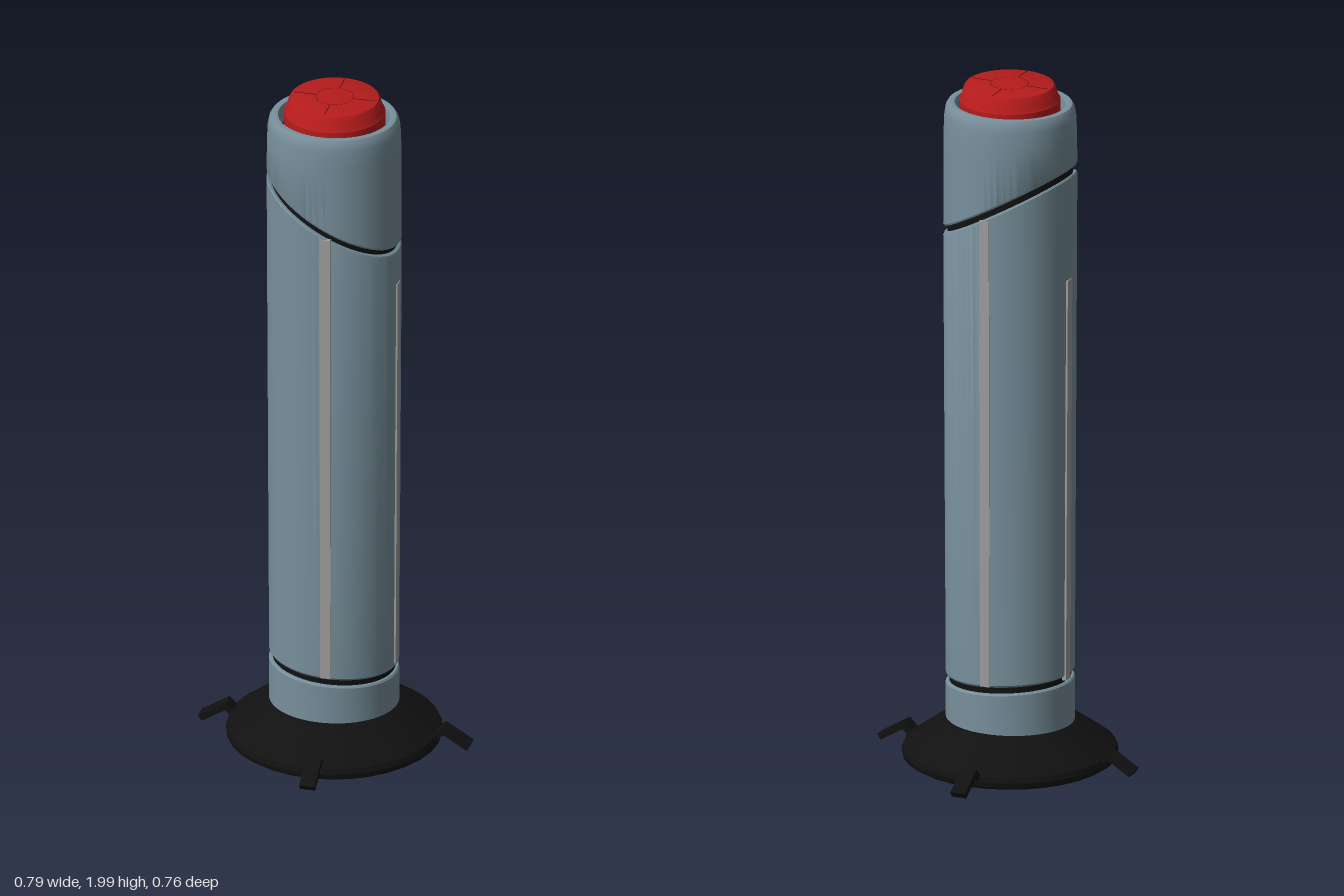
import * as THREE from 'three';
import { toCreasedNormals } from 'three/addons/utils/BufferGeometryUtils.js';

const mat = (color) => new THREE.MeshStandardMaterial({ color });
const shell = mat(0x78909c), black = mat(0x111111), red = mat(0xb71c1c);
const trim = mat(0x9e9e9e), groove = mat(0x5a0c0c);

export function createModel() {
  const root = new THREE.Group();

  const add = (parent, name, geo, material) => {
    const m = new THREE.Mesh(geo, material);
    m.name = name;
    parent.add(m);
    return m;
  };

  // Turned part; each profile point is [radius, height, slope], slope tilting its ring along x
  const turned = (profile, segments) => {
    const geo = new THREE.LatheGeometry(profile.map(([r, y]) => new THREE.Vector2(r, y)), segments);
    const p = geo.attributes.position, n = profile.length;
    for (let i = 0; i < p.count; i++) {
      p.setY(i, p.getY(i) - (profile[i % n][2] || 0) * p.getX(i));
    }
    return toCreasedNormals(geo, 0.5);
  };

  // Column: slightly oval in plan
  const column = new THREE.Group();
  column.name = 'column';
  column.position.set(-0.003, 0, 0.012);
  column.scale.z = 0.925;
  root.add(column);

  const LOW = 0.07, HIGH = 0.55; // slopes of the two slanted cuts
  add(column, 'collar', turned([
    [0, 0.09], [0.183, 0.09], [0.183, 0.238, LOW], [0.179, 0.243, LOW], [0, 0.243, LOW],
  ], 64), shell);
  add(column, 'core', turned([
    [0, 0.1], [0.172, 0.1], [0.173, 0.3, LOW], [0.178, 1.6, HIGH], [0.178, 1.72, HIGH],
    [0.16, 1.89], [0, 1.89],
  ], 64), black);
  add(column, 'mainBody', turned([
    [0, 0.262, LOW], [0.179, 0.262, LOW], [0.183, 0.268, LOW],
    [0.19, 1.644, HIGH], [0.187, 1.65, HIGH], [0, 1.65, HIGH],
  ], 64), shell);
  add(column, 'headCap', turned([
    [0.17, 1.67, HIGH], [0.187, 1.67, HIGH], [0.19, 1.676, HIGH], [0.189, 1.86],
    [0.187, 1.91], [0.183, 1.932], [0.176, 1.943], [0.168, 1.945], [0.158, 1.943],
    [0.155, 1.935], [0.155, 1.885],
  ], 64), shell);

  // Inlaid strips: long at front and back, short at the sides
  const strip = (name, angle, offset, top, rx) => {
    const pivot = new THREE.Group();
    pivot.name = name;
    pivot.position.set(-0.003, 0, 0.012);
    pivot.rotation.y = angle;
    const h = top - 0.265;
    const m = add(pivot, name + 'Bar', new THREE.BoxGeometry(0.03, h, 0.012), trim);
    const r = 0.183 + 0.007 * (h / 2) / 1.38;
    m.position.set(offset, 0.265 + h / 2, r * rx - 0.004);
    m.rotation.x = 0.005;
    root.add(pivot);
  };
  strip('frontStrip', 0, 0.018, 1.638, 0.925);
  strip('backStrip', Math.PI, 0, 1.645, 0.925);
  strip('leftStrip', Math.PI / 2, -0.015, 1.45, 1);
  strip('rightStrip', -Math.PI / 2, -0.015, 1.45, 1);

  // Push button with scored top
  const button = new THREE.Group();
  button.name = 'button';
  button.position.set(-0.002, 0, 0.01);
  root.add(button);
  add(button, 'buttonBody', turned([
    [0, 1.88], [0.142, 1.88], [0.142, 1.955], [0.136, 1.965], [0.129, 1.99],
    [0.124, 1.997], [0.117, 1.999], [0, 1.999],
  ], 48), red);
  const ring = add(button, 'buttonRing', new THREE.RingGeometry(0.052, 0.0535, 40), groove);
  ring.rotation.x = -Math.PI / 2;
  ring.position.y = 1.9996;
  for (let i = 0; i < 4; i++) {
    const a = i * Math.PI / 2;
    const line = add(button, 'buttonScore', new THREE.BoxGeometry(0.064, 0.001, 0.002), groove);
    line.position.set(Math.cos(a) * 0.085, 1.9993, -Math.sin(a) * 0.085);
    line.rotation.y = a;
  }

  // Flared foot
  const foot = add(root, 'base', turned([
    [0, 0.006], [0.285, 0.006], [0.301, 0.016], [0.304, 0.03], [0.298, 0.045],
    [0.195, 0.118], [0.183, 0.125], [0, 0.125],
  ], 32), black);
  foot.position.set(-0.003, 0, 0.01);

  // Four bent clips around the foot
  const s = new THREE.Shape([
    [0.275, 0.036], [0.29, 0.026], [0.315, 0.049], [0.382, 0.008], [0.393, 0.024], [0.312, 0.073],
  ].map(([x, y]) => new THREE.Vector2(x, y)));
  const clip = new THREE.ExtrudeGeometry(s, { depth: 0.044, bevelEnabled: false });
  clip.translate(0, 0, -0.022);
  [['left', 0, 0, 0.003], ['back', Math.PI / 2, -0.022, 0.009],
    ['right', Math.PI, 0, 0.003], ['front', -Math.PI / 2, 0.012, -0.012]].forEach(([side, a, x, z]) => {
    const m = add(root, side + 'Clip', clip, black);
    m.rotation.y = a;
    m.position.set(x, 0, z);
  });

  // Rest on the ground
  root.children.forEach((c) => { c.position.y -= 0.0; });
  const box = new THREE.Box3().setFromObject(root);
  root.children.forEach((c) => { c.position.y -= box.min.y; });
  return root;
}
